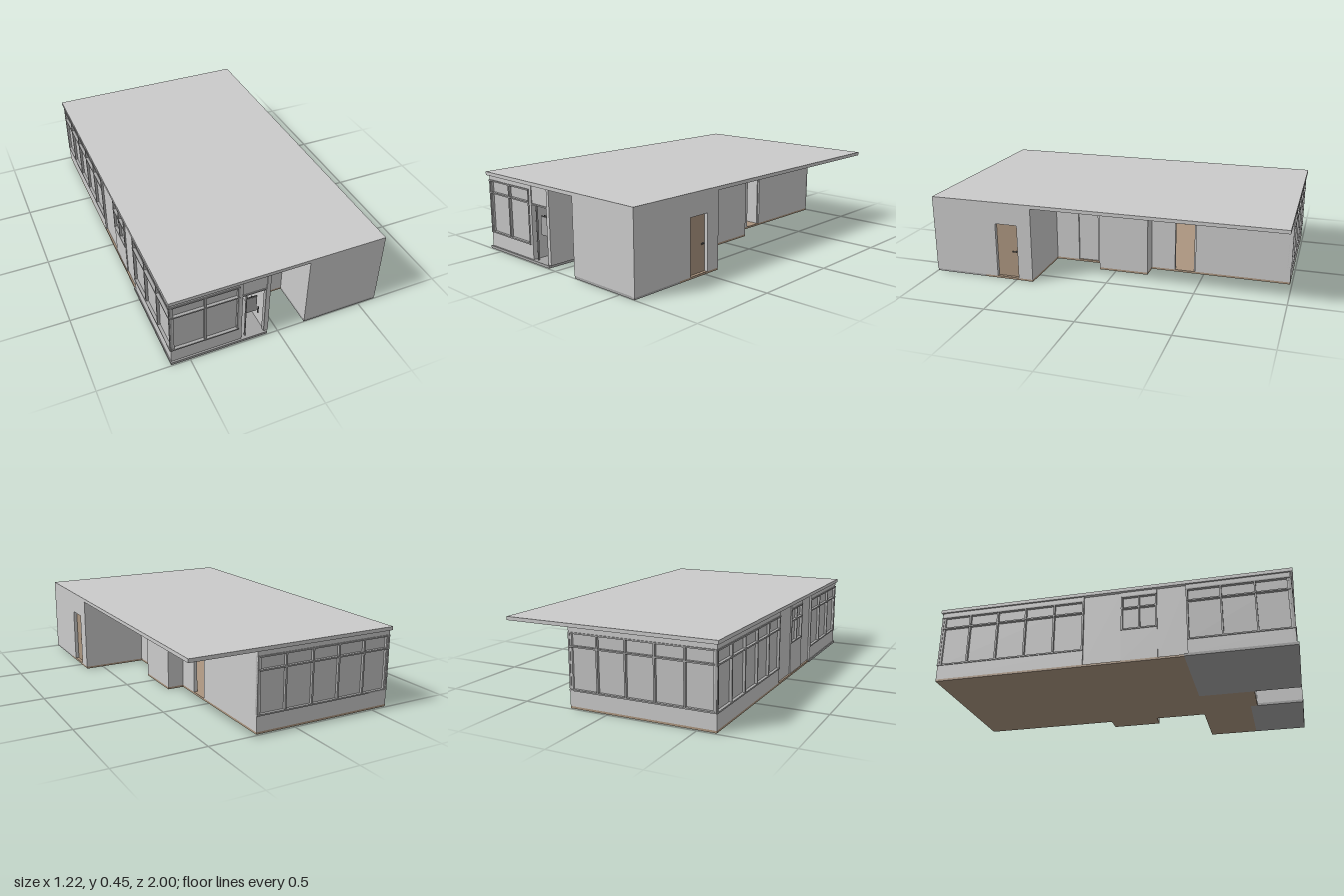
import * as THREE from 'three';

const material = (name, color, side = THREE.FrontSide) => {
  const m = new THREE.MeshStandardMaterial({ color, side });
  m.name = name;
  return m;
};

export function createModel() {
  const model = new THREE.Group();
  model.name = 'pavilion';
  const wallMat = material('pale wall grey', 0xcacaca);
  const slabMat = material('slab grey', 0xa4a4a4);
  const wood = material('wood brown', 0xab957f);
  const frameMat = material('frame grey', 0xa8a8a8);
  const metal = material('dark metal', 0x606060);
  const paneMat = material('pane grey', 0xc2c2c2);

  // Box given by its limits on each axis
  const box = (name, mat, x0, x1, y0, y1, z0, z1, parent = model) => {
    const mesh = new THREE.Mesh(new THREE.BoxGeometry(x1 - x0, y1 - y0, z1 - z0), mat);
    mesh.position.set((x0 + x1) / 2, (y0 + y1) / 2, (z0 + z1) / 2);
    mesh.name = name;
    parent.add(mesh);
    return mesh;
  };
  const T = 0.02, Y0 = 0.012, Y1 = 0.43, DOOR = 0.325;

  // Roof and ground slabs
  box('roof', wallMat, -0.61, 0.605, Y1, 0.45, -1, 1);
  box('leftFrontSlab', slabMat, -0.605, -0.06, 0, 0.015, 0.41, 0.995);
  box('rightFrontSlab', slabMat, 0.16, 0.603, 0, 0.015, 0.69, 0.998);

  // Wooden floor following the stepped plan
  const plan = [
    [-0.6, -0.99], [0.225, -0.99], [0.225, -0.19], [0.32, -0.19], [0.32, 0.1], [0.23, 0.1],
    [0.23, 0.4], [0.603, 0.4], [0.603, 0.69], [0.16, 0.69], [0.16, 0.73], [-0.06, 0.73],
    [-0.06, 0.41], [-0.6, 0.41],
  ].map(([x, z]) => new THREE.Vector2(x, -z));
  const floorGeo = new THREE.ExtrudeGeometry(new THREE.Shape(plan), { depth: Y0, bevelEnabled: false });
  floorGeo.rotateX(-Math.PI / 2);
  const floor = new THREE.Mesh(floorGeo, wood);
  floor.name = 'floor';
  model.add(floor);

  // Glazed wall: base, header, panes, mullions and rails; local +z faces outside
  const windowWall = (name, length, bays, sill, x, z, turn) => {
    const g = new THREE.Group();
    g.name = name;
    box('base', wallMat, 0, length, Y0, sill, -T, 0, g);
    box('header', wallMat, 0, length, 0.4, Y1, -T, 0, g);
    box('panes', paneMat, 0, length, sill, 0.4, -T, -0.012, g);
    for (let i = 0; i <= bays; i++) {
      const u = 0.005 + (length - 0.01) * i / bays;
      box('mullion', frameMat, u - 0.005, u + 0.005, sill, 0.4, -0.012, 0.003, g);
    }
    for (const y of [sill, 0.33, 0.4]) {
      box('rail', frameMat, 0, length, y - 0.004, y + 0.004, -0.012, 0.005, g);
    }
    g.position.set(x, 0, z);
    g.rotation.y = turn;
    model.add(g);
  };
  windowWall('frontWindows', 0.375, 2, 0.1, -0.6, 0.985, 0);
  windowWall('backWindows', 0.825, 5, 0.1, 0.225, -0.99, Math.PI);
  windowWall('leftRearWindows', 0.85, 5, 0.1, -0.6, -0.99, -Math.PI / 2);
  windowWall('leftMiddleWindow', 0.2, 2, 0.2, -0.595, 0.07, -Math.PI / 2);
  windowWall('leftFrontWindows', 0.555, 3, 0.1, -0.6, 0.43, -Math.PI / 2);
  for (const [z0, z1] of [[-0.14, 0.07], [0.27, 0.43]]) {
    box('leftSolidWall', wallMat, -0.59, -0.59 + T, Y0, Y1, z0, z1);
  }

  // Wall along z with a door opening, outer face at x
  const doorWall = (name, x, z0, z1, d0, d1) => {
    box(name, wallMat, x - T, x, Y0, Y1, z0, d0);
    box(name, wallMat, x - T, x, Y0, Y1, d1, z1);
    box(name + 'Lintel', wallMat, x - T, x, DOOR, Y1, d0, d1);
  };
  const handle = (x, z) => {
    box('handle', metal, x, x + 0.012, 0.162, 0.168, z - 0.003, z + 0.003);
    box('handle', metal, x + 0.008, x + 0.012, 0.162, 0.168, z - 0.003, z + 0.02);
  };

  // Rear wing wall with an open door leaf
  doorWall('rearSideWall', 0.225, -0.99, -0.19, -0.45, -0.33);
  box('openDoor', wallMat, 0.1, 0.215, Y0, DOOR, -0.45, -0.44);
  box('openDoorHandle', metal, 0.11, 0.125, 0.16, 0.168, -0.44, -0.425);

  // Projecting block in the middle
  box('blockWall', wallMat, 0.3, 0.32, Y0, Y1, -0.19, 0.1);
  box('blockRearWall', wallMat, 0.2, 0.32, Y0, Y1, -0.19, -0.17);
  box('blockFrontWall', wallMat, 0.2, 0.32, Y0, Y1, 0.08, 0.1);

  // Short recessed wall with a plain door
  doorWall('recessedWall', 0.23, 0.1, 0.4, 0.14, 0.26);
  box('plainDoor', wallMat, 0.212, 0.22, Y0, DOOR, 0.14, 0.26);

  // Right front room
  doorWall('rightRoomWall', 0.605, 0.4, 1, 0.485, 0.615);
  box('woodenDoor', wood, 0.575, 0.585, Y0, DOOR, 0.485, 0.615);
  handle(0.585, 0.5);
  box('rightRoomRearWall', wallMat, 0.21, 0.605, Y0, Y1, 0.4, 0.42);
  box('rightRoomFrontWall', wallMat, 0.16, 0.605, 0.015, Y1, 0.98, 1);
  box('rightRoomInnerWall', wallMat, 0.16, 0.18, 0.015, Y1, 0.71, 1);

  // Passage between the front rooms
  box('passageEndWall', wallMat, -0.06, 0.18, Y0, Y1, 0.71, 0.73);
  box('passageSideWall', wallMat, -0.072, -0.052, 0.015, Y1, 0.5, 0.985);

  // Front entrance
  box('entrancePier', wallMat, -0.225, -0.207, 0.015, Y1, 0.5, 0.985);
  box('entranceTransom', wallMat, -0.207, -0.072, 0.33, Y1, 0.965, 0.98);
  box('entranceHead', frameMat, -0.207, -0.072, 0.322, 0.33, 0.96, 0.985);
  box('entranceJamb', frameMat, -0.183, -0.178, 0.015, 0.322, 0.965, 0.975);
  box('entranceJamb', frameMat, -0.077, -0.072, 0.015, 0.322, 0.96, 0.985);
  box('entranceBackWall', wallMat, -0.207, -0.072, 0.13, Y1, 0.5, 0.52);
  box('entranceBackPanel', wood, -0.207, -0.072, 0.015, 0.13, 0.5, 0.52);
  box('noticePlate', metal, -0.171, -0.109, 0.155, 0.262, 0.946, 0.952);
  box('noticeFace', frameMat, -0.168, -0.112, 0.158, 0.259, 0.952, 0.954);
  box('noticeHook', metal, -0.142, -0.138, 0.262, 0.27, 0.946, 0.952);
  box('entranceHandle', metal, -0.106, -0.101, 0.14, 0.186, 0.955, 0.962);

  return model;
}
